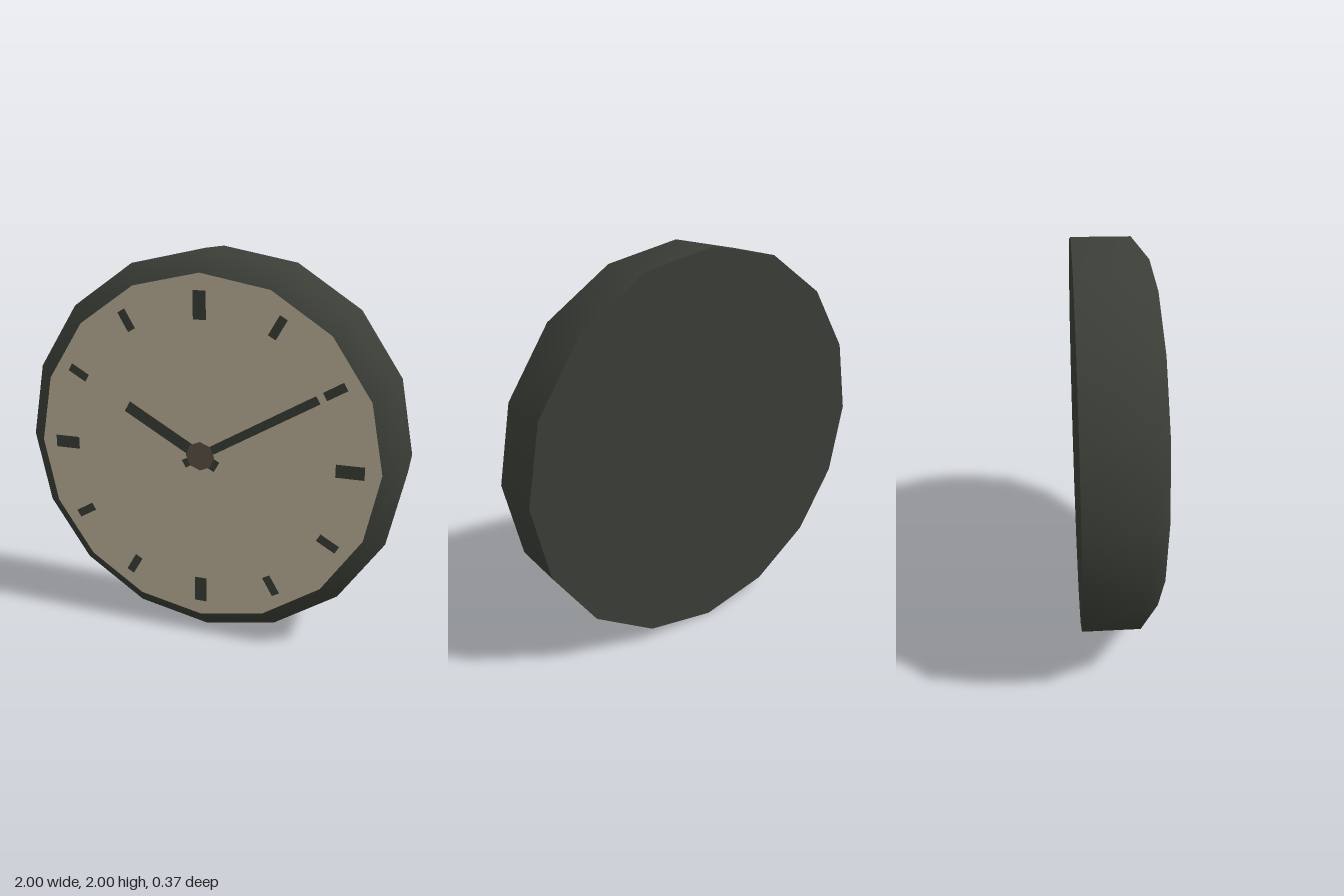
import * as THREE from 'three';

const SIDES = 16;
const CENTER_Y = 1;
const BACK = -0.186;
const FRONT = 0.183;

const dark = new THREE.MeshStandardMaterial({ color: 0x3b3e37 });
const cream = new THREE.MeshStandardMaterial({ color: 0xbfb59c });
const brown = new THREE.MeshStandardMaterial({ color: 0x5e5246 });

export function createModel() {
  const clock = new THREE.Group();
  clock.name = 'wallClock';
  const body = new THREE.Group();
  body.name = 'clockBody';
  body.position.y = CENTER_Y;
  clock.add(body);

  const add = (name, geometry, material) => {
    const mesh = new THREE.Mesh(geometry, material);
    mesh.name = name;
    body.add(mesh);
    return mesh;
  };

  // Flat bar lying along a ray from the centre, between two radii
  const bar = (name, degrees, from, to, width, z) => {
    const geometry = new THREE.PlaneGeometry(to - from, width);
    geometry.translate((from + to) / 2, 0, z);
    geometry.rotateZ(THREE.MathUtils.degToRad(degrees));
    add(name, geometry, dark);
  };

  // Casing: straight side wall with a bevel running in to the dial
  const profile = [[1, BACK], [1, 0.093], [0.893, FRONT]].map(([r, z]) => new THREE.Vector2(r, z));
  add('casing', new THREE.LatheGeometry(profile, SIDES).rotateX(Math.PI / 2), dark);

  // Back plate and dial close the casing
  add('backPlate', new THREE.CircleGeometry(1, SIDES).rotateY(Math.PI).translate(0, 0, BACK), dark);
  add('dial', new THREE.CircleGeometry(0.893, SIDES).translate(0, 0, FRONT), cream);

  // Hour marks, larger at every quarter
  for (let i = 0; i < 12; i++) {
    if (i % 3 === 0) bar('quarterMark', i * 30, 0.677, 0.813, 0.065, FRONT + 0.001);
    else bar('hourMark', i * 30, 0.705, 0.813, 0.043, FRONT + 0.001);
  }

  // Hands with short tails, and the centre cap
  bar('hourHand', 150, -0.1, 0.45, 0.06, FRONT + 0.0015);
  bar('minuteHand', 30, -0.1, 0.67, 0.043, FRONT + 0.002);
  add('centreCap', new THREE.CircleGeometry(0.075, 8).translate(0, 0, FRONT + 0.003), brown);

  return clock;
}
